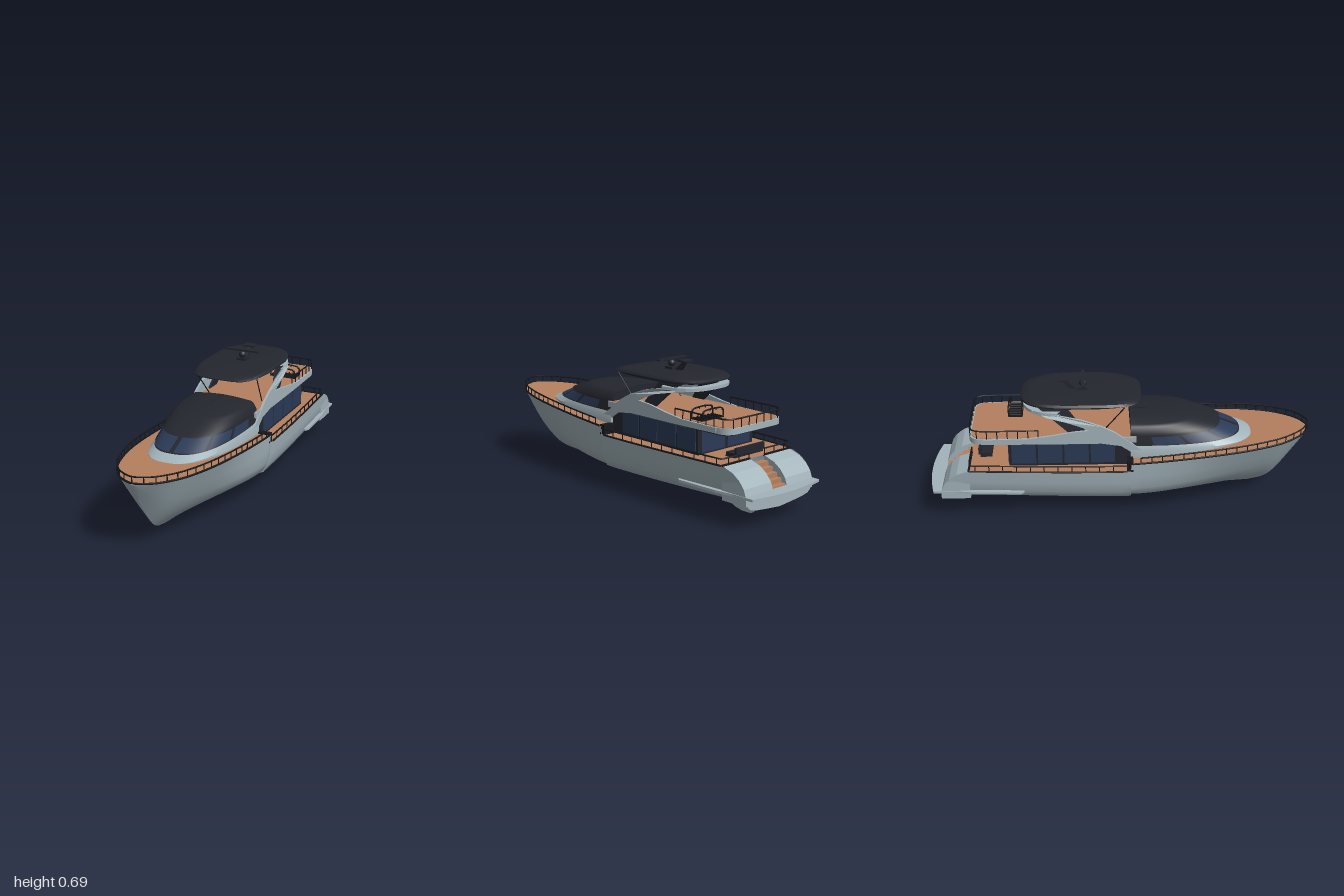
import * as THREE from 'three';
import { toCreasedNormals } from 'three/addons/utils/BufferGeometryUtils.js';

const mat = (color) => new THREE.MeshStandardMaterial({ color, side: THREE.DoubleSide });
const HULL = mat(0xa3b4bb), DARK = mat(0x24262e), GLASS = mat(0x2a3a56), TEAK = mat(0xb5805f), RAIL = mat(0x15171b);
const V = (x, y, z) => new THREE.Vector3(x, y, z);
const rad = THREE.MathUtils.degToRad;
const sp = (v, e) => Math.sign(v) * Math.abs(v) ** e;

// smooth interpolation through [z, value] pairs
const curve = (p) => (z) => {
  let i = 0;
  while (i < p.length - 2 && z > p[i + 1][0]) i++;
  const slope = (k) => {
    const a = p[Math.max(k - 1, 0)], b = p[Math.min(k + 1, p.length - 1)];
    return (b[1] - a[1]) / (b[0] - a[0]);
  };
  const h = p[i + 1][0] - p[i][0], t = THREE.MathUtils.clamp((z - p[i][0]) / h, 0, 1);
  const t2 = t * t, t3 = t2 * t;
  return (2 * t3 - 3 * t2 + 1) * p[i][1] + (t3 - 2 * t2 + t) * h * slope(i)
    + (3 * t2 - 2 * t3) * p[i + 1][1] + (t3 - t2) * h * slope(i + 1);
};

// surface through rows of [x, y, z] points
function loft(rows, closed = false, crease = 0.6) {
  const n = rows[0].length, idx = [];
  for (let r = 0; r < rows.length - 1; r++)
    for (let c = 0; c < (closed ? n : n - 1); c++) {
      const a = r * n + c, b = r * n + (c + 1) % n;
      idx.push(a, b, a + n, b, b + n, a + n);
    }
  const g = new THREE.BufferGeometry();
  g.setAttribute('position', new THREE.Float32BufferAttribute(rows.flat(2), 3));
  g.setIndex(idx);
  return toCreasedNormals(g, crease);
}

// side profile of [z, y] points, extruded across x from x0 to x1
function sideProfile(pts, x0, x1) {
  const s = new THREE.Shape(pts.map(([z, y]) => new THREE.Vector2(z, y)));
  return new THREE.ExtrudeGeometry(s, { depth: x1 - x0, bevelEnabled: false }).rotateY(-Math.PI / 2).translate(x1, 0, 0);
}

// plan shape in (x, z), extruded up from y0 to y1
const slab = (shape, y0, y1) => new THREE.ExtrudeGeometry(shape, { depth: y1 - y0, bevelEnabled: false, curveSegments: 12 })
  .rotateX(Math.PI / 2).translate(0, y1, 0);

// move every vertex sideways by a rule
function bendX(g, rule) {
  const p = g.attributes.position;
  for (let i = 0; i < p.count; i++) p.setX(i, rule(p.getX(i), p.getY(i), p.getZ(i)));
  g.computeVertexNormals();
  return g;
}

export function createModel() {
  const root = new THREE.Group();
  const add = (name, geo, m) => {
    const mesh = new THREE.Mesh(geo, m);
    mesh.name = name;
    root.add(mesh);
  };
  const box = (name, x0, x1, y0, y1, z0, z1, m) =>
    add(name, new THREE.BoxGeometry(x1 - x0, y1 - y0, z1 - z0).translate((x0 + x1) / 2, (y0 + y1) / 2, (z0 + z1) / 2), m);
  const bar = (name, a, b, r) => add(name, new THREE.TubeGeometry(new THREE.LineCurve3(a, b), 1, r, 6), RAIL);
  const tube = (name, pts, r) => add(name, new THREE.TubeGeometry(new THREE.CatmullRomCurve3(pts), 90, r, 6), RAIL);
  const rail = (name, pts, height, posts) => {
    tube(name, pts, 0.004);
    for (const p of new THREE.CatmullRomCurve3(pts).getSpacedPoints(posts))
      bar(name + 'Post', p, V(p.x, p.y - height, p.z), 0.0025);
  };

  // hull lines
  const beam = curve([[-0.93, 0.237], [-0.78, 0.246], [-0.3, 0.268], [0, 0.273], [0.25, 0.268], [0.45, 0.255],
    [0.6, 0.238], [0.8, 0.186], [0.9, 0.132], [0.96, 0.078], [1, 0]]);
  const keel = curve([[-0.93, 0.075], [-0.5, 0.06], [0, 0.05], [0.5, 0.05], [0.7, 0.058], [0.78, 0.08], [0.83, 0.12],
    [0.9, 0.215], [0.95, 0.295], [1, 0.384]]);
  const foreSheer = curve([[0.05, 0.328], [0.2, 0.338], [0.6, 0.366], [1, 0.385]]);
  const sternPts = [[-0.93, 0.16], [-0.915, 0.2], [-0.885, 0.236], [-0.845, 0.264], [-0.78, 0.285]];
  const aftSheer = curve([...sternPts, [-0.77, 0.285], [0.05, 0.285]]);
  const sheer = (z) => (z >= 0.05 ? foreSheer(z) : aftSheer(z));
  const zs = [-0.93, -0.915, -0.9, -0.885, -0.865, -0.845, -0.815, -0.78];
  for (let z = -0.7; z < 0.04; z += 0.1) zs.push(z);
  zs.push(0.0499, 0.05);
  for (let z = 0.1; z < 0.74; z += 0.05) zs.push(z);
  for (let z = 0.76; z < 0.985; z += 0.02) zs.push(z);
  zs.push(0.992, 1);

  // hull: hard chine amidships, flared vee at the bow
  const mid = [[0, 0], [0.34, 0.08], [0.66, 0.17], [0.86, 0.28], [0.94, 0.45], [0.975, 0.7], [1, 1]];
  const bow = [[0, 0], [0.13, 0.1], [0.28, 0.22], [0.45, 0.37], [0.62, 0.54], [0.81, 0.76], [1, 1]];
  const station = (z) => {
    const k = THREE.MathUtils.smoothstep(z, 0.05, 0.9), b = beam(z), y0 = keel(z), h = sheer(z) - y0;
    const half = mid.map(([x, y], i) => [b * (x + (bow[i][0] - x) * k), y0 + h * (y + (bow[i][1] - y) * k), z]);
    return [...half.slice(1).reverse().map(([x, y, w]) => [-x, y, w]), ...half];
  };
  add('hull', loft(zs.map(station), false, 0.7), HULL);
  const end = station(-0.93);
  add('transom', loft([end, end.map(([x, , z]) => [x, 0.16, z])]), HULL);

  // decks
  const deck = (list, name) => add(name, loft(list.map((z) => [[-beam(z), sheer(z) + 0.001, z], [beam(z), sheer(z) + 0.001, z]])), TEAK);
  deck(zs.filter((z) => z >= 0.05), 'foredeck');
  deck(zs.filter((z) => z >= -0.78 && z < 0.05), 'aftDeck');

  // stern: curved quarters, centre stairs, swim platform with side strakes, skeg
  for (const [a, b] of [[0.05, 0.238], [-0.238, -0.05]])
    add('sternQuarter', sideProfile([...sternPts, [-0.78, 0.12], [-0.93, 0.12]], a, b), HULL);
  for (let i = 0; i < 5; i++) box('stairStep', -0.05, 0.05, 0.14, 0.262 - i * 0.022, -0.81 - i * 0.028, -0.775, TEAK);
  const plat = new THREE.Shape();
  plat.moveTo(-0.24, -0.97);
  plat.quadraticCurveTo(0, -1.03, 0.24, -0.97);
  for (const [x, z] of [[0.243, -0.85], [0.258, -0.75], [0.264, -0.52], [0.25, -0.5], [-0.25, -0.5], [-0.264, -0.52], [-0.258, -0.75], [-0.243, -0.85]])
    plat.lineTo(x, z);
  add('swimPlatform', slab(plat, 0.155, 0.167), HULL);
  add('skeg', sideProfile([[-0.56, 0.075], [-0.6, 0.04], [-0.65, 0.012], [-0.7, 0], [-0.76, 0], [-0.775, 0.02], [-0.8, 0.085]], -0.012, 0.012), HULL);

  // forward cabin: stacked outlines [y, front z, half width]
  const cabinPt = ([y, zf, w], a) => [w * sp(Math.sin(a), 0.77), y, 0.1 + (zf - 0.1) * Math.abs(Math.cos(a)) ** 0.77];
  const ring = (lv) => {
    const pts = [[-lv[2], lv[0], 0.05]];
    for (let i = 0; i <= 40; i++) pts.push(cabinPt(lv, rad(-90 + i * 4.5)));
    return [...pts, [lv[2], lv[0], 0.05]];
  };
  const stack = (name, levels, m) => add(name, loft(levels.map(ring), true), m);
  stack('cabinCoaming', [[0.32, 0.7, 0.206], [0.372, 0.692, 0.206], [0.394, 0.63, 0.198]], HULL);
  stack('cabinFrame', [[0.394, 0.63, 0.197], [0.447, 0.505, 0.188]], DARK);
  stack('cabinRoof', [[0.445, 0.5, 0.186], [0.448, 0.525, 0.192], [0.462, 0.49, 0.19], [0.492, 0.4, 0.174], [0.5, 0.375, 0.16],
    [0.509, 0.3, 0.07], [0.512, 0.2, 0.001]], DARK);
  const pane = (a0, a1) => {
    const rows = [0.1, 0.9].map((t) => Array.from({ length: 13 }, (_, i) =>
      cabinPt([0.394 + 0.053 * t, 0.636 - 0.125 * t, 0.201 - 0.009 * t], rad(a0 + (a1 - a0) * i / 12))));
    add('cabinWindow', loft(rows), GLASS);
  };
  for (const s of [-1, 1]) for (const [a, b] of [[1.5, 38], [41, 66], [69, 86]]) pane(s * a, s * b);

  // saloon with side windows and aft doors
  box('saloon', -0.193, 0.193, 0.285, 0.42, -0.575, 0.07, DARK);
  for (const s of [-1, 1]) {
    for (let i = 0; i < 4; i++) {
      const z = -0.56 + i * 0.135;
      box('saloonWindow', s * 0.194 - 0.003, s * 0.194 + 0.003, 0.3, 0.41, z, z + 0.125, GLASS);
    }
    box('aftDoor', s * 0.09 - 0.08, s * 0.09 + 0.08, 0.295, 0.405, -0.579, -0.57, GLASS);
    box('deckStep', s * 0.234 - 0.036, s * 0.234 + 0.036, 0.285, 0.338, 0.03, 0.062, RAIL);
  }
  box('aftSofa', -0.1, 0.1, 0.285, 0.308, -0.73, -0.67, DARK);
  box('aftSofaBack', -0.1, 0.1, 0.3, 0.335, -0.74, -0.725, DARK);

  // flybridge floor
  const fly = (w, zr, r) => {
    const s = new THREE.Shape();
    s.moveTo(-w, 0.08);
    s.lineTo(-w, zr + r);
    s.quadraticCurveTo(-w, zr, -w + r, zr);
    s.lineTo(w - r, zr);
    s.quadraticCurveTo(w, zr, w, zr + r);
    s.lineTo(w, 0.08);
    return s;
  };
  add('flybridgeUnderside', slab(fly(0.19, -0.76, 0.07), 0.41, 0.42), DARK);
  add('flybridgeEdge', slab(fly(0.2, -0.775, 0.075), 0.418, 0.448), HULL);
  add('flybridgeDeck', slab(fly(0.192, -0.765, 0.07), 0.445, 0.451), TEAK);

  // sweeping side arches, bent inward behind to follow the hardtop
  const archPts = [[0.2, 0.335], [0.1, 0.38], [0.03, 0.432], [-0.03, 0.478], [-0.1, 0.515], [-0.2, 0.552], [-0.3, 0.574], [-0.38, 0.583],
    [-0.45, 0.587], [-0.45, 0.571], [-0.38, 0.562], [-0.28, 0.541], [-0.2, 0.512], [-0.16, 0.492], [-0.24, 0.484], [-0.36, 0.463],
    [-0.47, 0.449], [-0.7, 0.446], [-0.7, 0.42], [-0.4, 0.416], [-0.1, 0.416], [0, 0.4], [0.05, 0.365], [0.11, 0.335]];
  const legPts = [[-0.28, 0.61], [-0.42, 0.61], [-0.24, 0.45], [-0.16, 0.45]];
  for (const s of [-1, 1]) {
    add('sideArch', bendX(sideProfile(archPts, s * 0.199 - 0.006, s * 0.199 + 0.006),
      (x, y, z) => (z < -0.2 && y > 0.5 ? x * Math.cbrt(1 - ((-0.2 - z) / 0.3) ** 3) : x)), HULL);
    // hardtop supports
    add('hardtopLeg', bendX(sideProfile(legPts, s * 0.186 - 0.006, s * 0.186 + 0.006),
      (x, y) => x - s * (y - 0.45) * 0.17), DARK);
    bar('hardtopPost', V(s * 0.178, 0.608, 0.02), V(s * 0.155, 0.45, -0.1), 0.003);
  }
  const cross = [];
  for (let a = -75; a <= 75; a += 5) {
    const x = sp(Math.sin(rad(a)), 2 / 3), z = Math.cos(rad(a)) ** (2 / 3);
    cross.push([[0.2, 0.3, 0.571], [0.2, 0.3, 0.587], [0.17, 0.25, 0.587], [0.17, 0.25, 0.571]]
      .map(([w, l, y]) => [w * x, y, -0.2 - l * z]));
  }
  add('archCrossbar', loft(cross, true, 0.5), HULL);

  // hardtop, squarer at the front than behind, dipping towards its front edge
  const topRing = ([y, k]) => Array.from({ length: 64 }, (_, i) => {
    const a = i / 64 * Math.PI * 2, c = Math.cos(a), e = c > 0 ? 0.45 : 2 / 3;
    const z = -0.2 + 0.31 * k * sp(c, e), f = Math.max(z + 0.1, 0);
    return [0.197 * k * sp(Math.sin(a), e) * (1 - f * 0.4), y > 0.615 ? y - f * 0.05 : y, z];
  });
  add('hardtop', loft([[0.604, 0.001], [0.604, 0.93], [0.611, 1], [0.618, 1], [0.628, 0.95], [0.632, 0.8], [0.634, 0.001]].map(topRing), true), DARK);

  // radar and mast
  box('radarBase', -0.027, 0.027, 0.628, 0.646, -0.22, -0.17, DARK);
  add('radarDome', new THREE.SphereGeometry(0.019, 20, 14).translate(0, 0.662, -0.19), DARK);
  box('radarScanner', -0.095, 0.095, 0.681, 0.69, -0.2, -0.18, DARK);
  add('mast', sideProfile([[-0.22, 0.63], [-0.26, 0.63], [-0.305, 0.688], [-0.285, 0.688]], -0.009, 0.009), DARK);
  box('mastCrossbar', -0.032, 0.032, 0.682, 0.69, -0.315, -0.265, DARK);

  // toe rail and bow rail
  const edge = (z0, h, inset) => {
    const side = [0, 0.15, 0.3, 0.45, 0.6, 0.72, 0.82, 0.9, 0.95, 0.98].map((t) => z0 + (0.996 - z0) * t);
    const at = (s) => (z) => V(s * (beam(z) - inset), sheer(z) + h, z);
    return [...side.map(at(-1)), V(0, sheer(1) + h, 0.996 - inset), ...side.reverse().map(at(1))];
  };
  tube('toeRail', edge(0.06, 0.002, 0.001), 0.005);
  rail('bowRail', edge(0.1, 0.034, 0.003), 0.034, 36);

  // aft deck rails
  for (const s of [-1, 1]) {
    const side = (y, inset) => [0.03, -0.2, -0.4, -0.6, -0.74].map((z) => V(s * (beam(z) - inset), y, z));
    rail('aftRail', [...side(0.318, 0.004), V(s * 0.238, 0.318, -0.772), V(s * 0.2, 0.318, -0.778), V(s * 0.055, 0.318, -0.778)], 0.033, 14);
    tube('aftToeRail', [...side(0.287, 0), V(s * 0.246, 0.287, -0.778)], 0.005);
    box('sternSill', s * 0.148 - 0.097, s * 0.148 + 0.097, 0.28, 0.291, -0.785, -0.775, RAIL);
  }

  // flybridge rail
  const flySide = [[0.196, -0.42], [0.196, -0.55], [0.196, -0.68], [0.188, -0.74], [0.165, -0.766], [0.11, -0.771]];
  const flyRail = (s) => flySide.map(([x, z]) => V(s * x, 0.492, z));
  rail('flybridgeRail', [...flyRail(-1), ...flyRail(1).reverse()], 0.045, 20);

  // stairwell on the flybridge with its treads and guard rails
  box('stairwell', 0.025, 0.175, 0.45, 0.455, -0.585, -0.51, RAIL);
  for (const z of [-0.583, -0.512])
    rail('stairwellRail', [[0.03, 0.46], [0.035, 0.495], [0.06, 0.503], [0.14, 0.503], [0.17, 0.495], [0.175, 0.46]].map(([x, y]) => V(x, y, z)), 0.01, 5);
  for (let x = 0.04; x < 0.17; x += 0.025) bar('stairTread', V(x, 0.458, -0.583), V(x, 0.458, -0.512), 0.004);

  return root;
}
